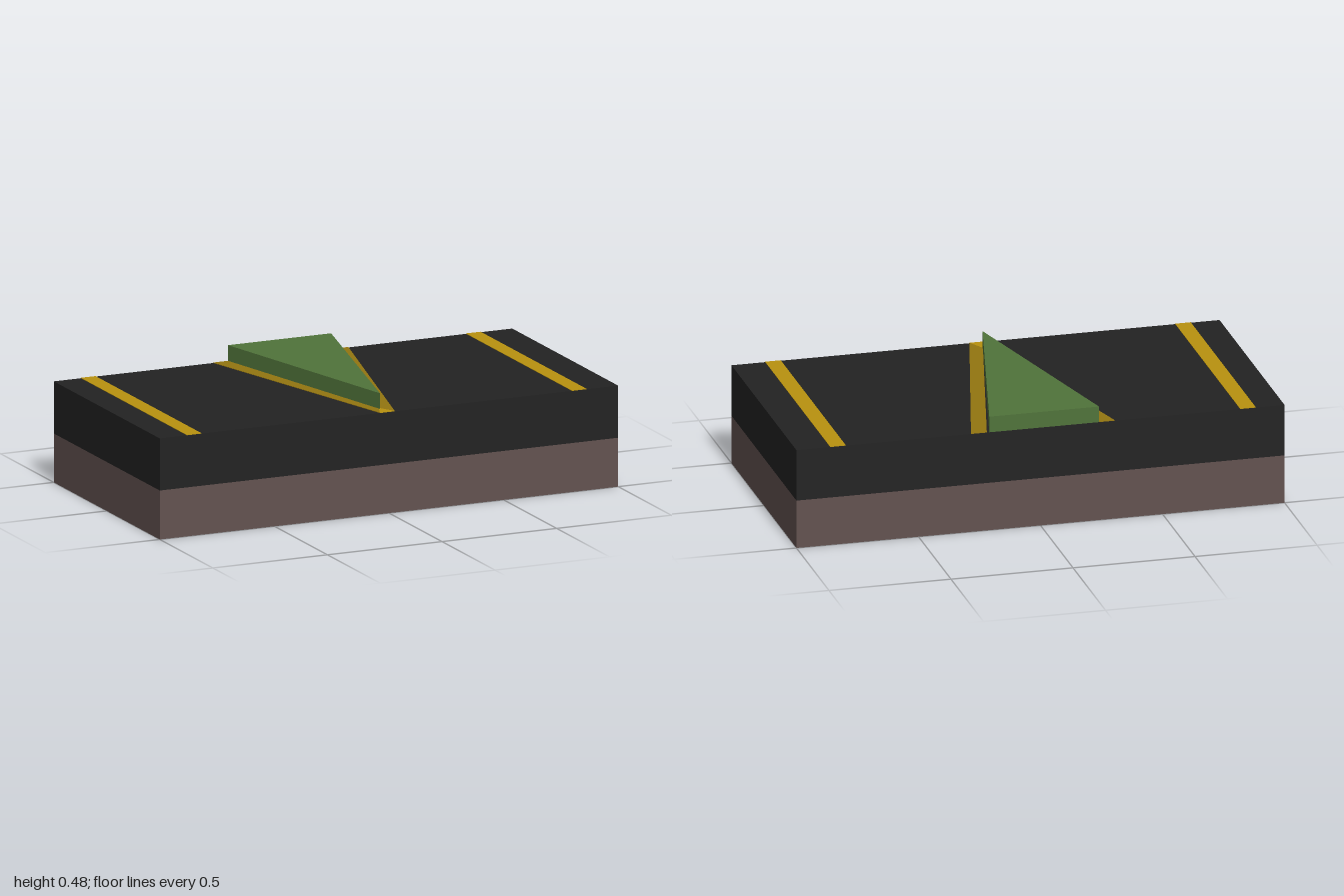
import * as THREE from 'three';

const mat = (name, color) => {
  const m = new THREE.MeshStandardMaterial({ color });
  m.name = name;
  return m;
};

export function createModel() {
  const asphalt = mat('asphalt', 0x222222);
  const earth = mat('earth brown', 0x635250);
  const grass = mat('grass green', 0x50733a);
  const yellow = mat('line yellow', 0xb8920f);
  const darkYellow = mat('worn line yellow', 0x937510);

  const group = new THREE.Group();
  group.name = 'roadSegment';
  const roadTop = 0.413;
  const lineTop = roadTop + 0.002;
  const seam = 0.2;

  const add = (name, geometry, material) => {
    const mesh = new THREE.Mesh(geometry, material);
    mesh.name = name;
    group.add(mesh);
  };
  // Flat slab with an outline of [x, z] points between two heights
  const slab = (name, points, bottom, top, material) => {
    const shape = new THREE.Shape(points.map(([x, z]) => new THREE.Vector2(x, z)));
    const geometry = new THREE.ExtrudeGeometry(shape, { depth: top - bottom, bevelEnabled: false });
    geometry.rotateX(Math.PI / 2).translate(0, top, 0);
    add(name, geometry, material);
  };

  // Earth layer with a dark underside, and the road layer on it
  add('earthLayer', new THREE.BoxGeometry(2, seam, 1).translate(0, seam / 2, 0),
    [earth, earth, earth, asphalt, earth, earth]);
  add('roadLayer', new THREE.BoxGeometry(2, roadTop - seam, 1).translate(0, (roadTop + seam) / 2, 0), asphalt);

  // Straight edge lines
  for (const [name, x] of [['rightEdgeLine', -0.85], ['leftEdgeLine', 0.83]]) {
    add(name, new THREE.BoxGeometry(0.064, 0.002, 1).translate(x, roadTop + 0.001, 0), yellow);
  }

  // Converging lines around the median, joined at the front
  slab('rightMedianLine', [[-0.305, -0.5], [-0.24, -0.5], [-0.012, 0.43], [-0.04, 0.5]], roadTop, lineTop, darkYellow);
  slab('leftMedianLine', [[0.22, -0.5], [0.285, -0.5], [0.025, 0.5], [-0.012, 0.43]], roadTop, lineTop, darkYellow);
  slab('medianLineTip', [[-0.04, 0.5], [-0.012, 0.43], [0.025, 0.5]], roadTop, lineTop, yellow);

  // Raised grass wedge
  slab('grassMedian', [[-0.24, -0.5], [0.21, -0.5], [-0.015, 0.447]], roadTop, 0.479, grass);

  return group;
}
